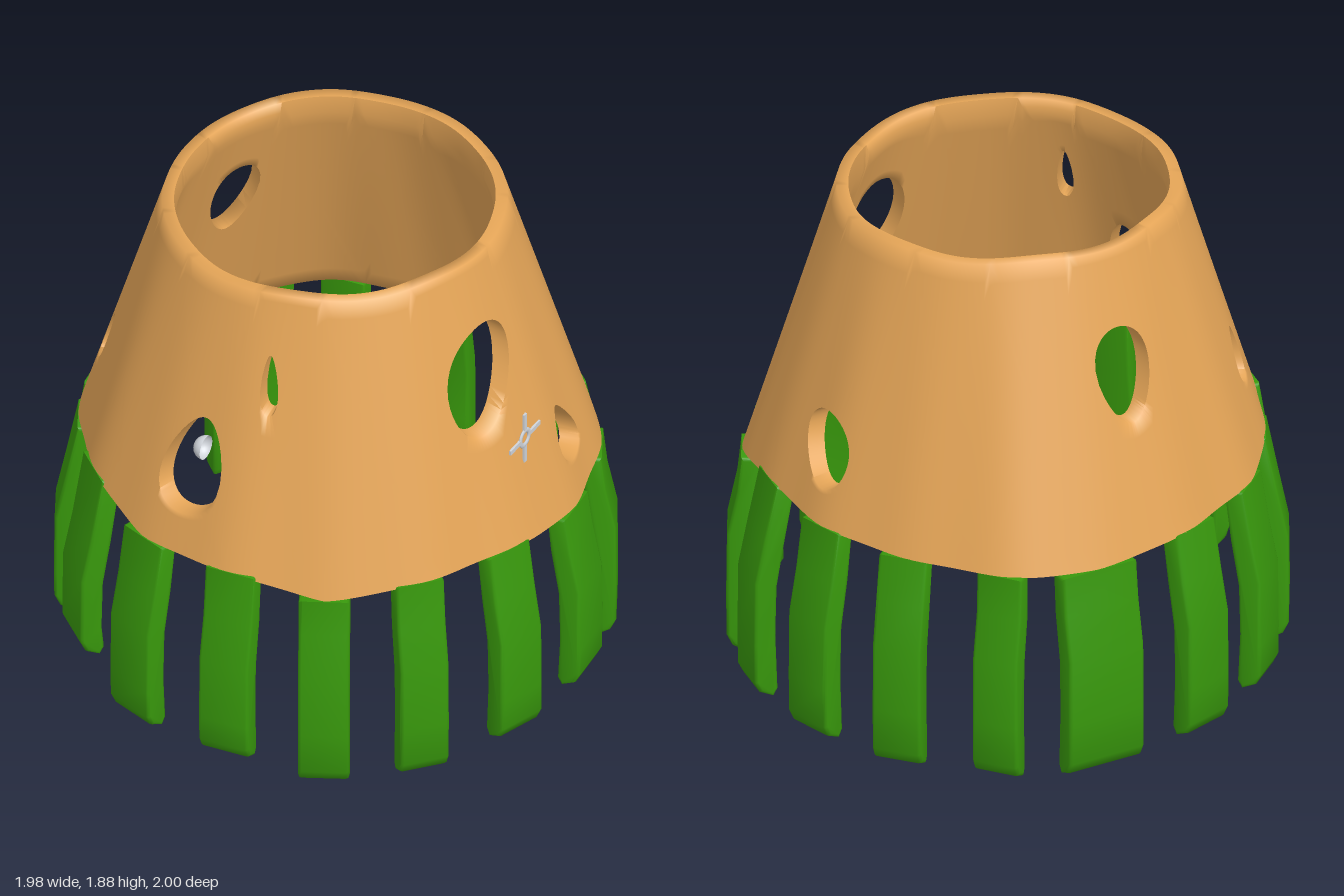
import * as THREE from 'three';
import { toCreasedNormals } from 'three/addons/utils/BufferGeometryUtils.js';

const RAD = Math.PI / 180;

// Fringe strips: [angle from front in degrees, height of rim, bottom height, width, twist]
const STRIPS = [
  [6, 0.845, 0.06, 0.19, 0], [27, 0.78, 0, 0.18, 0], [48, 0.82, 0.01, 0.18, 0], [71, 0.82, 0.04, 0.19, 0],
  [95, 0.78, 0.05, 0.2, 0], [118, 0.78, 0, 0.19, 0], [140, 0.85, 0.01, 0.18, 0], [163, 0.83, 0.01, 0.19, 0],
  [185, 0.81, 0, 0.18, 4], [207, 0.8, 0, 0.17, -20], [229, 0.79, 0, 0.3, 9], [255, 0.82, 0.02, 0.2, 0],
  [278, 0.83, 0.04, 0.19, 0], [298, 0.87, 0.06, 0.18, 0], [320, 0.9, 0.14, 0.2, 0], [342.5, 0.83, 0.05, 0.2, 0],
];

// Wall panels: [start, end, hole], hole = [angle, y, half angle, half height, taper, skew]
const PANELS = [
  [-27, 4, [-8, 1.165, 8.5, 0.185, 0.25, 1.5]],
  [4, 25, [10.5, 1.535, 2.5, 0.11, 0.3, -0.5]],
  [25, 55], [55, 91, [74, 1.44, 12, 0.19, -0.25, 4]],
  [91, 120, [101.5, 1.02, 5.5, 0.115, 0.5, -1.5]],
  [120, 142], [142, 176, [159, 1.08, 8, 0.13, -0.2, -2]],
  [176, 203], [203, 230], [230, 264, [243, 1.42, 8.5, 0.17, -0.3, 0]],
  [264, 283], [283, 307, [295, 1.19, 3.5, 0.1, 0.3, 1]],
  [307, 333],
];

// Uneven lower edge, eased from strip to strip
function rimY(deg) {
  const a = ((deg - 6) % 360 + 360) % 360 + 6;
  let i = STRIPS.length - 1;
  while (i > 0 && STRIPS[i][0] > a + 1e-6) i--;
  const p = STRIPS[i], q = STRIPS[(i + 1) % STRIPS.length];
  const end = i === STRIPS.length - 1 ? q[0] + 360 : q[0];
  return THREE.MathUtils.lerp(p[1], q[1], (a - p[0]) / (end - p[0]));
}
const topY = (deg) => 1.86 + 0.007 * Math.sin(2 * deg * RAD) + 0.005 * Math.sin(7 * deg * RAD);

// The cone is fuller at the front and has a corner low at the back left
const frontBulge = (deg) => 0.022 * Math.max(0, Math.cos(deg * RAD));
const backCorner = (deg) => 0.04 * Math.exp(-(((deg - 217) / 13) ** 2));

// Cone radius with shallow vertical folds
function radius(deg, y) {
  const a = deg * RAD;
  const folds = 0.005 * Math.sin(9 * a + 1) + 0.004 * Math.sin(16 * a);
  return 0.6 + (1.86 - y) * (0.3 + backCorner(deg)) + frontBulge(deg) + folds * (1.95 - y);
}

// Point on the outer (depth 0) or inner (depth 1) side; the wall thins to a lip at the top
function onWall([deg, y], depth) {
  const inset = 0.07 * Math.min(1, 0.6 + (topY(deg) - y) * 8);
  const r = radius(deg, y) - inset * depth;
  return [r * Math.sin(deg * RAD), y, r * Math.cos(deg * RAD)];
}

function wallGeometry() {
  const pos = [], N = 14, RINGS = 8;
  const quad = (a, b, c, d) => pos.push(...a, ...b, ...c, ...a, ...c, ...d);
  for (const [a0, a1, hole] of PANELS) {
    // Counter-clockwise panel outline
    const edge = [];
    const at = (u, v) => {
      const deg = a0 + (a1 - a0) * u;
      edge.push([deg, THREE.MathUtils.lerp(rimY(deg), topY(deg), v)]);
    };
    for (let i = 0; i < N; i++) at(i / N, 0);
    for (let i = 0; i < N; i++) at(1, i / N);
    for (let i = 0; i < N; i++) at(1 - i / N, 1);
    for (let i = 0; i < N; i++) at(0, 1 - i / N);
    const [cx, cy, hw, hh, taper, skew] = hole || [(a0 + a1) / 2, 1.34, 0, 0, 0, 0];
    const inner = edge.map(([x, y]) => {
      const t = Math.atan2((y - cy) / 0.3, (x - cx) / 15), s = Math.sin(t);
      return [cx + hw * Math.cos(t) * (1 - taper * s) + skew * s, cy + hh * s];
    });
    const point = (k, i, depth) => {
      const j = i % edge.length, t = k / RINGS;
      return onWall([
        THREE.MathUtils.lerp(inner[j][0], edge[j][0], t),
        THREE.MathUtils.lerp(inner[j][1], edge[j][1], t)], depth);
    };
    for (let i = 0; i < edge.length; i++) {
      for (let k = 0; k < RINGS; k++) {
        const f = (depth) => [point(k, i, depth), point(k + 1, i, depth), point(k + 1, i + 1, depth), point(k, i + 1, depth)];
        quad(...f(0));
        quad(...f(1).reverse());
      }
      // Thickness around the hole, then along the top and bottom edges
      if (hole) quad(point(0, i, 0), point(0, i + 1, 0), point(0, i + 1, 1), point(0, i, 1));
      if (Math.floor(i / N) % 2 === 0) {
        quad(point(RINGS, i, 1), point(RINGS, i + 1, 1), point(RINGS, i + 1, 0), point(RINGS, i, 0));
      }
    }
  }
  const g = new THREE.BufferGeometry();
  g.setAttribute('position', new THREE.Float32BufferAttribute(pos, 3));
  return toCreasedNormals(g, 1.4);
}

// Bent slab hanging from the rim, with softened edges and a slanted end
function stripGeometry([deg, top, bottom, width, twist]) {
  const r = radius(deg, top), bevel = 0.012, out = 0.5 * (frontBulge(deg) + backCorner(deg));
  const profile = [
    [r - 0.008, top - bevel], [0.938 + out, 0.64], [0.973 + out, 0.47], [0.976 + out, 0.22],
    [0.974 + out, bottom + 0.065], [0.957 + out, bottom + 0.03], [0.92 + out, bottom + bevel],
    [0.91 + out, bottom + 0.03], [0.918 + out, 0.25], [0.913 + out, 0.45], [0.883 + out, 0.63],
    [r - 0.058, top - bevel],
  ];
  const shape = new THREE.Shape(profile.map(([x, y]) => new THREE.Vector2(x, y)));
  const depth = width - 2 * bevel;
  const g = new THREE.ExtrudeGeometry(shape, {
    depth, bevelEnabled: true, bevelSize: bevel, bevelThickness: bevel, bevelSegments: 2,
  });
  // Twist about the middle of the strip, then swing it round to its place
  g.translate(-r, 0, -depth / 2);
  g.rotateY(twist * RAD);
  g.translate(r, 0, 0);
  g.rotateY((deg - 90) * RAD);
  return toCreasedNormals(g, 0.9);
}

export function createModel() {
  const model = new THREE.Group();
  const material = (name, color) => {
    const m = new THREE.MeshStandardMaterial({ color });
    m.name = name;
    return m;
  };
  const tan = material('tan', 0xe5a557);
  const green = material('green', 0x38980c);
  const olive = material('olive', 0x98903c);
  const grey = material('grey', 0xd0d4da);
  grey.side = THREE.DoubleSide;
  const add = (parent, name, geometry, mat, x = 0, y = 0, z = 0) => {
    const mesh = new THREE.Mesh(geometry, mat);
    mesh.name = name;
    mesh.position.set(x, y, z);
    parent.add(mesh);
    return mesh;
  };

  add(model, 'wall', wallGeometry(), tan);

  const fringe = new THREE.Group();
  fringe.name = 'fringe';
  STRIPS.forEach((s) => add(fringe, 'fringeStrip', stripGeometry(s), green));
  model.add(fringe);

  // Small lamp hanging in the middle
  const lamp = new THREE.Group();
  lamp.name = 'lamp';
  add(lamp, 'bulb', new THREE.SphereGeometry(0.055, 24, 16), olive, 0.057, 1.25, 0.12);
  add(lamp, 'bulbBase', new THREE.CylinderGeometry(0.028, 0.024, 0.06, 16), grey, 0.057, 1.175, 0.12);
  model.add(lamp);
  // Half-round knob behind the front opening
  add(model, 'innerKnob', new THREE.SphereGeometry(0.045, 14, 14, -Math.PI / 2, Math.PI), grey, -0.147, 1.13, 0.67);

  // Flat ring with four spokes beside the wall
  const marker = new THREE.Group();
  marker.name = 'spokedRing';
  marker.position.set(0.83, 1.18, 0.12);
  marker.rotation.y = Math.PI / 2;
  add(marker, 'ring', new THREE.TorusGeometry(0.03, 0.01, 8, 24), grey).scale.z = 0.5;
  for (let i = 0; i < 4; i++) {
    const a = i * Math.PI / 2;
    const spoke = add(marker, 'spoke', new THREE.BoxGeometry(0.018, 0.075, 0.008), grey,
      -Math.sin(a) * 0.067, Math.cos(a) * 0.067, 0);
    spoke.rotation.z = a;
  }
  model.add(marker);
  return model;
}
